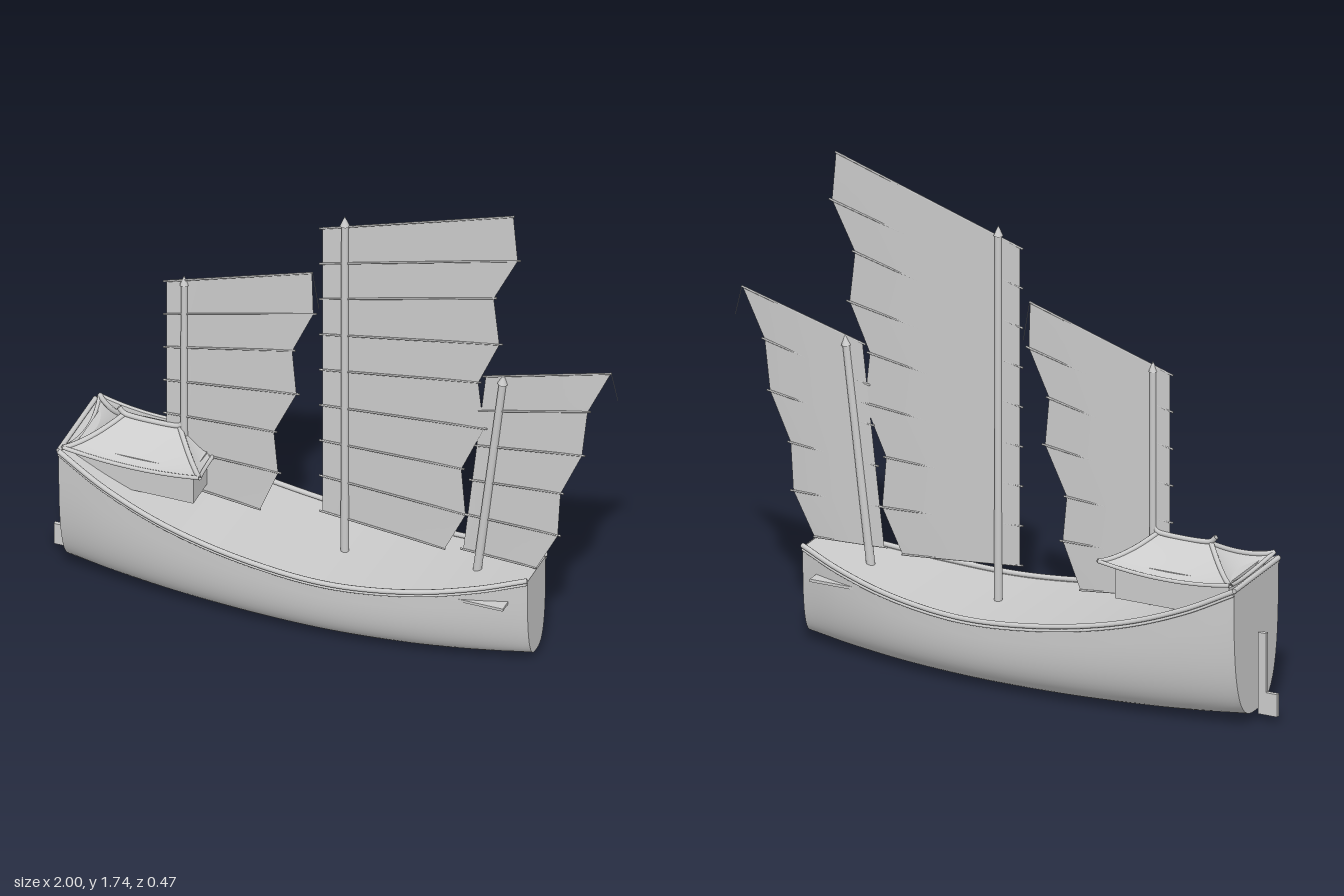
import * as THREE from 'three';

const V = (x, y, z = 0) => new THREE.Vector3(x, y, z);
const mat = new THREE.MeshStandardMaterial({ color: 0xcccccc, side: THREE.DoubleSide });

function add(parent, name, geometry) {
  const mesh = new THREE.Mesh(geometry, mat);
  mesh.name = name;
  parent.add(mesh);
  return mesh;
}

// Surface through rows of points; rows run up, points run right as seen from the front face
function loft(rows) {
  const n = rows[0].length, idx = [];
  for (let i = 0; i < rows.length - 1; i++) {
    for (let j = 0; j < n - 1; j++) {
      const a = i * n + j, b = a + 1, c = a + n, d = c + 1;
      idx.push(a, b, d, a, d, c);
    }
  }
  const g = new THREE.BufferGeometry().setFromPoints(rows.flat());
  g.setIndex(idx);
  g.computeVertexNormals();
  return g;
}

// Round bar between two points
function bar(parent, name, a, b, r0, r1 = r0, sides = 8) {
  const d = b.clone().sub(a);
  const m = add(parent, name, new THREE.CylinderGeometry(r1, r0, d.length(), sides));
  m.position.copy(a).add(b).multiplyScalar(0.5);
  m.quaternion.setFromUnitVectors(V(0, 1), d.normalize());
  return m;
}

function box(parent, name, w, h, d, x, y, z = 0) {
  add(parent, name, new THREE.BoxGeometry(w, h, d)).position.set(x, y, z);
}

const tube = (pts, r, seg = 16) =>
  new THREE.TubeGeometry(new THREE.CatmullRomCurve3(pts), seg, r, 8);

// Hull stations: x, rail height, half width, keel height
const STATIONS = [
  [-0.92, 0.515, 0.165, 0.04], [-0.75, 0.43, 0.192, 0.026], [-0.53, 0.35, 0.212, 0.014],
  [-0.25, 0.29, 0.222, 0.006], [0.05, 0.262, 0.216, 0.005], [0.33, 0.28, 0.185, 0.011],
  [0.55, 0.317, 0.135, 0.022], [0.71, 0.355, 0.082, 0.036],
];
const lines = [
  new THREE.CatmullRomCurve3(STATIONS.map(s => V(s[0], s[1], s[2]))),
  new THREE.CatmullRomCurve3(STATIONS.map(s => V(s[0], s[3], 0))),
];

function hull(root) {
  const g = new THREE.Group();
  g.name = 'hull';
  root.add(g);
  const N = 48, M = 32, skin = [], deck = [];
  for (let i = 0; i <= N; i++) {
    const top = lines[0].getPoint(i / N), keel = lines[1].getPoint(i / N);
    const row = [];
    for (let j = 0; j <= M; j++) {
      const a = (j / M * 2 - 1) * Math.PI / 2, s = Math.sin(a);
      const z = Math.sign(s) * Math.pow(Math.abs(s), 2 / 3) * top.z;
      const h = 1 - Math.pow(Math.max(0, Math.cos(a)), 2 / 3);
      row.push(V(top.x, keel.y + h * (top.y - keel.y), z));
    }
    skin.push(row);
    deck.push([V(top.x, top.y - 0.004, top.z), V(top.x, top.y - 0.004, -top.z)]);
  }
  add(g, 'planking', loft(skin));
  add(g, 'deck', loft(deck));
  // Flat ends
  [['sternTransom', skin[0]], ['bowTransom', skin[N]]].forEach(([name, row]) => {
    const mid = row.map(p => V(p.x, row[0].y, p.z));
    add(g, name, loft(name === 'bowTransom' ? [mid, row] : [row, mid]));
  });
  // Side rails with a thinner strake below
  for (const s of [1, -1]) {
    const path = (dy, dz) => Array.from({ length: 25 }, (_, i) => {
      const p = lines[0].getPoint(i / 24);
      return V(p.x, p.y + dy, s * (p.z + dz));
    });
    add(g, 'rail', tube(path(0.006, 0.002), 0.009, 60));
    add(g, 'strake', tube(path(-0.009, 0.001), 0.005, 60));
  }
  bar(g, 'sternRail', V(-0.92, 0.521, -0.165), V(-0.92, 0.521, 0.165), 0.009);
  box(g, 'bowPlank', 0.16, 0.01, 0.3, 0.57, 0.27);
  box(g, 'rudderPost', 0.03, 0.29, 0.014, -0.945, 0.175);
  box(g, 'rudderBlade', 0.07, 0.08, 0.014, -0.965, 0.07);
}

function cabin(root) {
  const g = new THREE.Group();
  g.name = 'cabin';
  root.add(g);
  box(g, 'cabinWalls', 0.42, 0.13, 0.24, -0.67, 0.462);
  const corners = [[-0.905, 0.165], [-0.42, 0.165], [-0.42, -0.165], [-0.905, -0.165]];
  const ridge = [-0.755, -0.555, -0.555, -0.755];
  const mix = THREE.MathUtils.lerp;
  // Concave hipped roof with lifted corners
  for (let k = 0; k < 4; k++) {
    const a = corners[k], b = corners[(k + 1) % 4], n = 12;
    const point = (u, t) => {
      const e = 2 * u - 1, inset = (1 - e * e) * (1 - t) * 0.02;
      const x = mix(mix(a[0], b[0], u), mix(ridge[k], ridge[(k + 1) % 4], u), t);
      const z = mix(mix(a[1], b[1], u), 0, t);
      const y = mix(0.512, 0.602, Math.pow(t, 1.35)) + 0.026 * e * e * (1 - t) ** 2;
      const dx = k === 1 ? -1 : k === 3 ? 1 : 0, dz = k === 0 ? -0.5 : k === 2 ? 0.5 : 0;
      return V(x + dx * inset, y, z + dz * inset);
    };
    const run = f => Array.from({ length: n + 1 }, (_, i) => f(i / n));
    add(g, 'roofSlope', loft(run(t => run(u => point(u, t)))));
    add(g, 'eave', tube(run(u => point(u, 0)), 0.007));
    add(g, 'hipRib', tube(run(t => point(0, t)), 0.009));
  }
  add(g, 'ridgeBeam', tube([V(-0.772, 0.628), V(-0.755, 0.61), V(-0.72, 0.604),
    V(-0.59, 0.604), V(-0.555, 0.61), V(-0.54, 0.628)], 0.009, 24));
}

// Mast with a pointed cap
function mast(parent, foot, head, r) {
  const d = head.clone().sub(foot).normalize();
  const neck = head.clone().addScaledVector(d, -0.035);
  bar(parent, 'mast', foot, neck, r, r * 0.85, 12);
  bar(parent, 'mastCap', neck, head, r * 1.15, 0.001, 12);
}

// Battened sail; each row is a batten: luff x, luff y, leech x, leech y, from top to bottom
function sail(parent, rows) {
  const strips = rows.map(([x0, y0, x1, y1]) => Array.from({ length: 17 }, (_, i) => {
    const t = i / 16;
    return V(x0 + (x1 - x0) * t, y0 + (y1 - y0) * t, -0.003 * Math.sin(Math.PI * t) + 0.004 * t * t);
  })).reverse();
  add(parent, 'sailCloth', loft(strips));
  rows.forEach(([x0, y0, x1, y1], i) => {
    const a = V(x0, y0, 0.002), b = V(x1, y1, 0.002), d = b.clone().sub(a).normalize();
    const edge = i === 0 || i === rows.length - 1;
    bar(parent, edge ? 'sailYard' : 'batten', a.addScaledVector(d, -0.01),
      b.addScaledVector(d, edge ? 0.002 : 0.01), 0.0035, 0.0035, 6);
  });
}

function rig(root, name, foot, head, r, luffTop, luffFoot, leech) {
  const g = new THREE.Group();
  g.name = name;
  root.add(g);
  mast(g, foot, head, r);
  sail(g, leech.map(([x, y], i) => {
    const p = luffTop.clone().lerp(luffFoot, i / (leech.length - 1));
    return [p.x, p.y, x, y];
  }));
  return g;
}

export function createModel() {
  const root = new THREE.Group();
  root.name = 'sailingJunk';
  hull(root);
  cabin(root);
  rig(root, 'mainRig', V(0.03, 0.25), V(0.03, 1.59), 0.014, V(-0.05, 1.525), V(-0.05, 0.395),
    [[0.63, 1.743], [0.645, 1.57], [0.56, 1.4], [0.58, 1.22], [0.505, 1.05],
      [0.525, 0.87], [0.445, 0.69], [0.46, 0.51], [0.385, 0.355]]);
  const mizzen = rig(root, 'mizzenRig', V(-0.54, 0.34), V(-0.54, 1.21), 0.013,
    V(-0.603, 1.175), V(-0.603, 0.385),
    [[-0.085, 1.338], [-0.08, 1.175], [-0.155, 1.01], [-0.14, 0.84], [-0.22, 0.67],
      [-0.205, 0.51], [-0.27, 0.347]]);
  const fore = rig(root, 'foreRig', V(0.5, 0.3), V(0.594, 1.1), 0.015, V(0.53, 1.08), V(0.45, 0.37),
    [[0.975, 1.203], [0.893, 1.03], [0.873, 0.85], [0.797, 0.68], [0.787, 0.51], [0.71, 0.36]]);
  // Loose lines at the yard ends
  bar(mizzen, 'peakLine', V(-0.085, 1.338), V(-0.062, 1.2), 0.001, 0.001, 4);
  bar(fore, 'peakLine', V(0.975, 1.203), V(0.999, 1.1), 0.001, 0.001, 4);
  return root;
}
